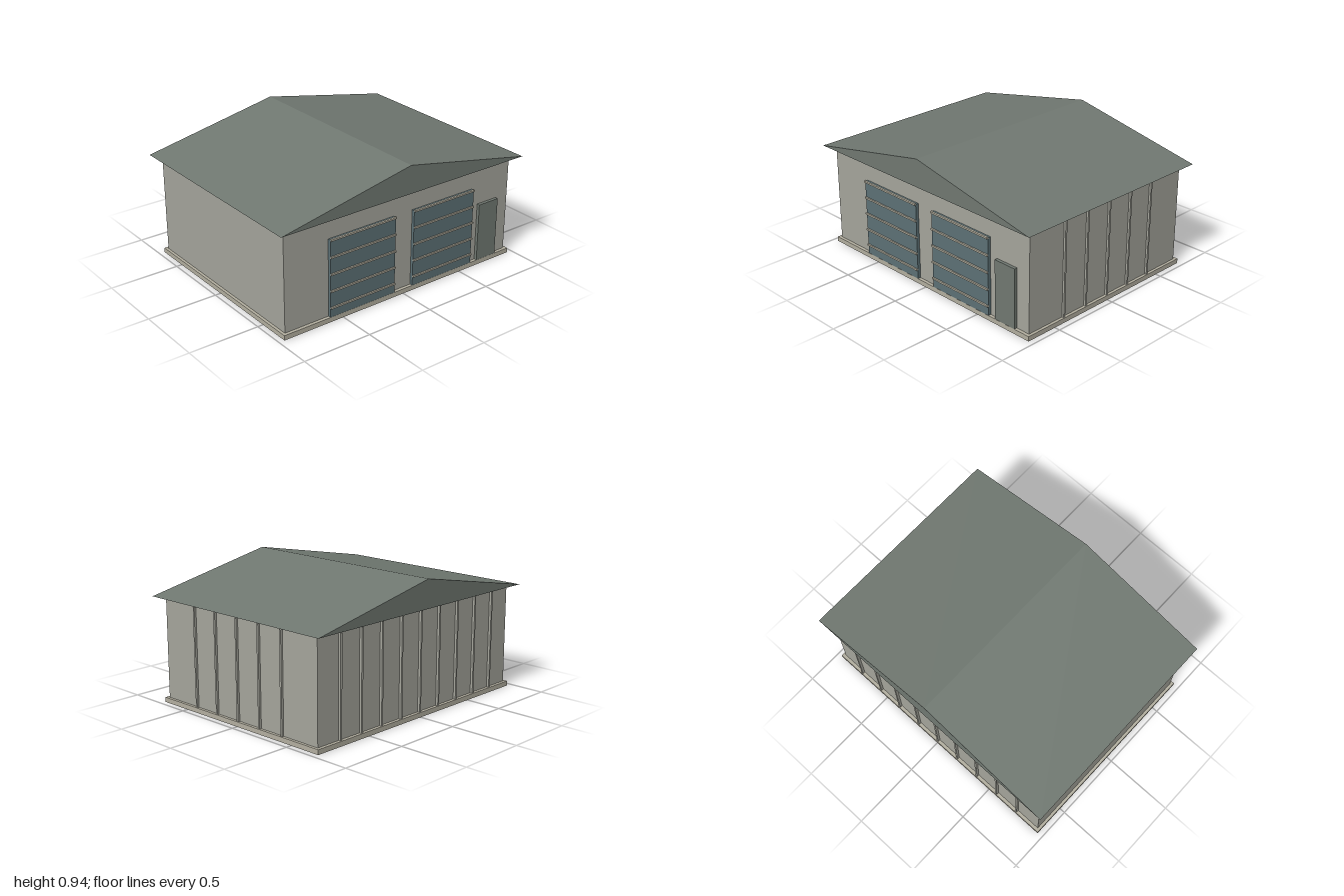
import * as THREE from 'three';

const material = (color) => new THREE.MeshStandardMaterial({ color, flatShading: true });

export function createModel() {
  const group = new THREE.Group();
  const wallMat = material(0xa4a49b);
  const trimMat = material(0xb2ae9f);
  const roofMat = material(0x707871);
  const shutterMat = material(0x5c7075);

  // Box given by its lower and upper limits on each axis
  function box(name, mat, [x0, x1], [y0, y1], [z0, z1]) {
    const mesh = new THREE.Mesh(new THREE.BoxGeometry(x1 - x0, y1 - y0, z1 - z0), mat);
    mesh.position.set((x0 + x1) / 2, (y0 + y1) / 2, (z0 + z1) / 2);
    mesh.name = name;
    group.add(mesh);
  }

  // Slab and walls
  box('foundation', trimMat, [-0.96, 0.96], [0, 0.034], [-0.735, 0.735]);
  box('walls', wallMat, [-0.94, 0.94], [0.034, 0.745], [-0.712, 0.712]);

  // Solid gable roof with its ridge along z
  const gable = new THREE.Shape([
    new THREE.Vector2(-1, 0.742),
    new THREE.Vector2(1, 0.742),
    new THREE.Vector2(0, 0.94),
  ]);
  const roofGeometry = new THREE.ExtrudeGeometry(gable, { depth: 1.56, bevelEnabled: false });
  roofGeometry.translate(0, 0, -0.78);
  const roof = new THREE.Mesh(roofGeometry, roofMat);
  roof.name = 'roof';
  group.add(roof);

  // Two sectional garage doors with horizontal rails
  for (const x of [-0.34, 0.34]) {
    const span = [x - 0.263, x + 0.263];
    box('garageDoor', shutterMat, span, [0.034, 0.583], [0.7, 0.734]);
    for (let i = 0; i < 5; i++) {
      const y = 0.102 + i * 0.12;
      box('garageDoorRail', trimMat, span, [y - 0.006, y + 0.006], [0.73, 0.745]);
    }
  }

  // Entry door
  box('entryDoor', roofMat, [0.662, 0.835], [0.034, 0.455], [0.7, 0.734]);

  // Vertical wall ribs on the left side and the back
  for (let i = -2; i <= 2; i++) {
    const z = i * 0.204;
    box('sideRib', wallMat, [0.93, 0.955], [0.034, 0.72], [z - 0.007, z + 0.007]);
  }
  for (let i = -4; i <= 4; i++) {
    const x = i * 0.188;
    box('backRib', wallMat, [x - 0.007, x + 0.007], [0.034, 0.72], [-0.73, -0.7]);
  }

  return group;
}
